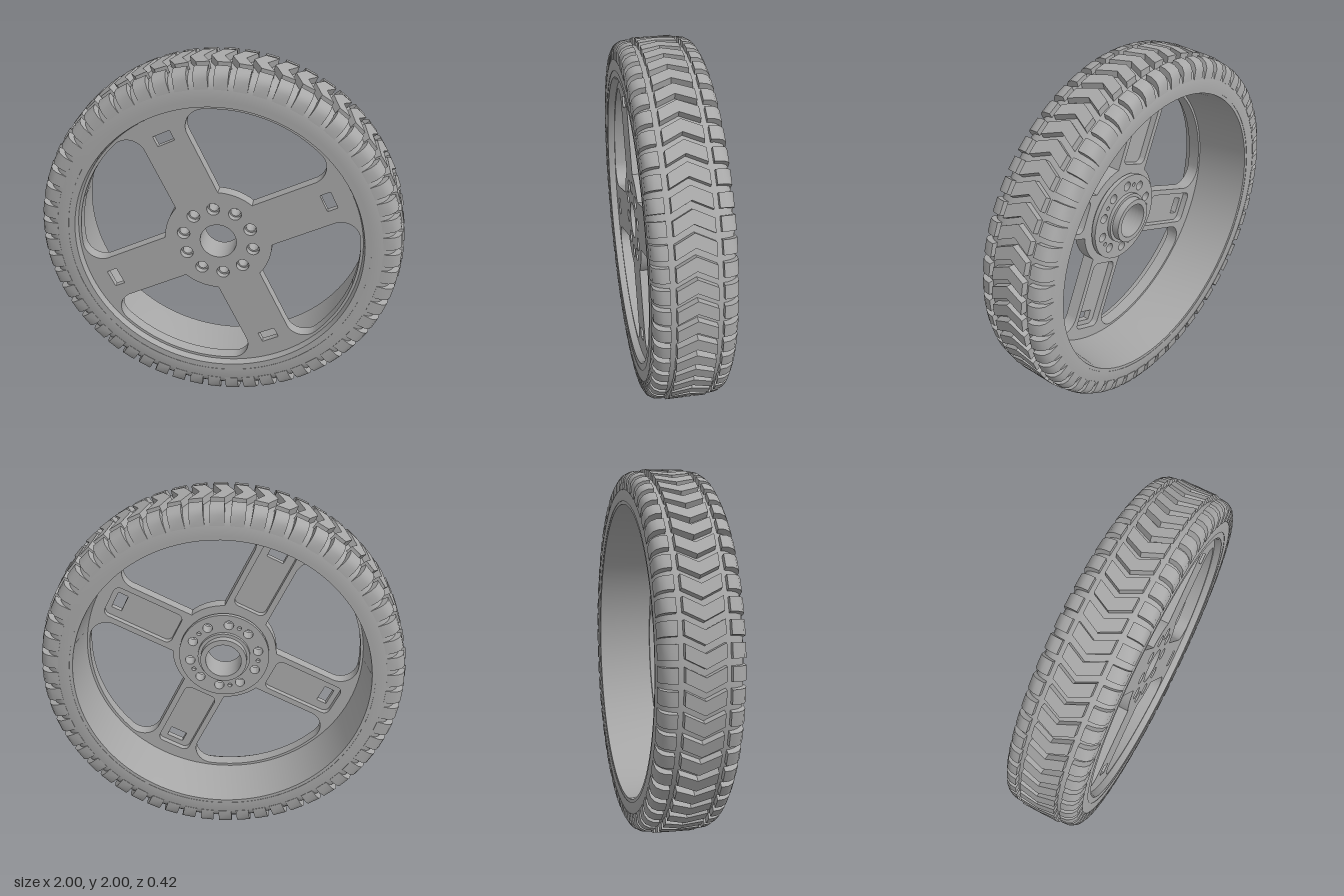
import * as THREE from 'three';
import { mergeGeometries, toCreasedNormals } from 'three/addons/utils/BufferGeometryUtils.js';

const grey = new THREE.MeshStandardMaterial({ color: 0xa8a8a8 });
grey.name = 'plain grey';

const SPOKE_ANGLE = THREE.MathUtils.degToRad(26);
const BLOCKS = 56;

function part(name, geometry) {
  const mesh = new THREE.Mesh(geometry, grey);
  mesh.name = name;
  return mesh;
}

// Closed [radius, z] profile, counter-clockwise, revolved about z
function revolve(profile, segments = 112) {
  const points = [...profile, profile[0]].map(([r, z]) => new THREE.Vector2(r, z));
  const geometry = new THREE.LatheGeometry(points, segments).rotateX(Math.PI / 2);
  return toCreasedNormals(geometry, 0.6);
}

function slab(shape, z0, z1) {
  const geometry = new THREE.ExtrudeGeometry(shape, { depth: z1 - z0, bevelEnabled: false, curveSegments: 24 });
  return toCreasedNormals(geometry.translate(0, 0, z0), 0.5);
}

const polygon = (pts) => new THREE.Shape(pts.map(([x, y]) => new THREE.Vector2(x, y)));

function circle(r, x = 0, y = 0) {
  return new THREE.Path().absarc(x, y, r, 0, Math.PI * 2, true);
}

function disc(r) {
  return new THREE.Shape().absarc(0, 0, r, 0, Math.PI * 2, false);
}

// Turn a path by quarter turns and return it as a hole
function turned(path, angle) {
  const origin = new THREE.Vector2();
  return new THREE.Path(path.getPoints(16).map((p) => p.clone().rotateAround(origin, angle)));
}

// Opening between two spokes, with rounded outer corners
function windowPath() {
  const w = 0.128, f = 0.1, outer = 0.77, inner = 0.295;
  const c = w + f;
  const d = Math.sqrt((outer - f) ** 2 - c * c);
  const a = Math.atan2(c, d);
  const start = Math.asin(w / inner);
  const p = new THREE.Path();
  p.moveTo(inner * Math.cos(start), w);
  p.lineTo(d, w);
  p.absarc(d, c, f, -Math.PI / 2, a, false);
  p.absarc(0, 0, outer, a, Math.PI / 2 - a, false);
  p.absarc(c, d, f, Math.PI / 2 - a, Math.PI, false);
  p.lineTo(w, inner * Math.cos(start));
  p.absarc(0, 0, inner, Math.PI / 2 - start, start, true);
  return p;
}

function roundedRect(x0, x1, half, r) {
  const p = new THREE.Path();
  p.absarc(x1 - r, half - r, r, 0, Math.PI / 2, false);
  p.absarc(x0 + r, half - r, r, Math.PI / 2, Math.PI, false);
  p.absarc(x0 + r, r - half, r, Math.PI, Math.PI * 1.5, false);
  p.absarc(x1 - r, r - half, r, Math.PI * 1.5, Math.PI * 2, false);
  return p;
}

function boltHoles(shape, count, holeRadius, ringRadius, offset = 0) {
  for (let i = 0; i < count; i++) {
    const a = (i / count) * Math.PI * 2 + offset;
    shape.holes.push(circle(holeRadius, ringRadius * Math.cos(a), ringRadius * Math.sin(a)));
  }
}

// Wheel disc with windows, bore, bolt holes and one cutout per spoke
function spokeShape(cutout, boltRadius) {
  const shape = disc(0.8);
  shape.holes.push(circle(0.1));
  boltHoles(shape, 10, boltRadius, 0.195);
  for (let i = 0; i < 4; i++) {
    shape.holes.push(turned(windowPath(), (i * Math.PI) / 2));
    shape.holes.push(turned(cutout, (i * Math.PI) / 2));
  }
  return shape;
}

function ring(outer, inner) {
  const shape = disc(outer);
  shape.holes.push(circle(inner));
  return shape;
}

// Repeat one block all round the tyre in a single geometry
function around(block, phase = 0) {
  const copies = [];
  for (let i = 0; i < BLOCKS; i++) {
    copies.push(block.clone().rotateZ(((i + phase) / BLOCKS) * Math.PI * 2));
  }
  return mergeGeometries(copies);
}

// V-shaped block of the middle tread
function chevronBlock() {
  const t = 0.036, rise = 0.05, w = 0.1;
  const shape = polygon([
    [-t - rise / 2, -w], [t - rise / 2, -w], [t + rise / 2, 0],
    [t - rise / 2, w], [-t - rise / 2, w], [-t + rise / 2, 0],
  ]);
  const geometry = new THREE.ExtrudeGeometry(shape, { depth: 0.05, bevelEnabled: false });
  const toRim = new THREE.Matrix4().makeBasis(
    new THREE.Vector3(0, 1, 0), new THREE.Vector3(0, 0, 1), new THREE.Vector3(1, 0, 0));
  return geometry.translate(0, 0, 0.949).applyMatrix4(toRim);
}

// Block that wraps over the tyre shoulder; side is +1 front, -1 back
function shoulderBlock(side) {
  const width = 0.074;
  const shape = polygon([
    [0.94, 0.13], [0.991, 0.13], [0.987, 0.165], [0.972, 0.192],
    [0.945, 0.208], [0.89, 0.212], [0.89, 0.18],
  ].map(([r, z]) => [r, z * side]));
  const geometry = new THREE.ExtrudeGeometry(shape, { depth: width, bevelEnabled: false });
  return toCreasedNormals(geometry.translate(0, 0, -width / 2).rotateX(Math.PI / 2), 0.6);
}

export function createModel() {
  const model = new THREE.Group();
  model.name = 'wheel';
  const wheel = new THREE.Group();
  wheel.name = 'wheelAssembly';
  wheel.position.y = 1;
  model.add(wheel);

  // Tyre body and tread
  const half = [[0.962, 0.1], [0.957, 0.15], [0.945, 0.175], [0.925, 0.197], [0.89, 0.21], [0.83, 0.21]];
  const mirrored = half.map(([r, z]) => [r, -z]).reverse();
  wheel.add(part('tyre', revolve([...mirrored, ...half])));
  wheel.add(part('chevronTread', around(chevronBlock())));
  wheel.add(part('frontShoulderTread', around(shoulderBlock(1), -0.2)));
  wheel.add(part('backShoulderTread', around(shoulderBlock(-1), -0.2)));

  // Rim barrel, slightly wider at the back
  wheel.add(part('rim', revolve([
    [0.832, -0.208], [0.832, 0.208], [0.795, 0.208], [0.785, 0.17], [0.785, 0.1], [0.812, -0.208],
  ])));

  // Spokes: slotted face plate and pocketed back
  const spokes = new THREE.Group();
  spokes.name = 'spokesAndHub';
  spokes.rotation.z = SPOKE_ANGLE;
  const slot = roundedRect(0.625, 0.685, 0.05, 0.003);
  const pocket = roundedRect(0.3, 0.715, 0.096, 0.035);
  spokes.add(part('spokeFace', slab(spokeShape(slot, 0.035), 0.135, 0.17)));
  spokes.add(part('spokeBackRibs', slab(spokeShape(pocket, 0.027), 0.1, 0.135)));

  // Hub: bolt flange with small blind holes, collar and bearing boss
  const flange = ring(0.235, 0.1);
  boltHoles(flange, 10, 0.027, 0.195);
  spokes.add(part('hubFlange', slab(flange, 0.085, 0.1)));
  const cover = ring(0.255, 0.1);
  boltHoles(cover, 10, 0.027, 0.195);
  boltHoles(cover, 5, 0.012, 0.195, Math.PI / 10);
  spokes.add(part('hubCover', slab(cover, 0.06, 0.085)));
  spokes.add(part('hubCollar', slab(ring(0.148, 0.1), 0.04, 0.06)));
  spokes.add(part('hubBoss', slab(ring(0.13, 0.1), 0, 0.04)));
  wheel.add(spokes);

  return model;
}
